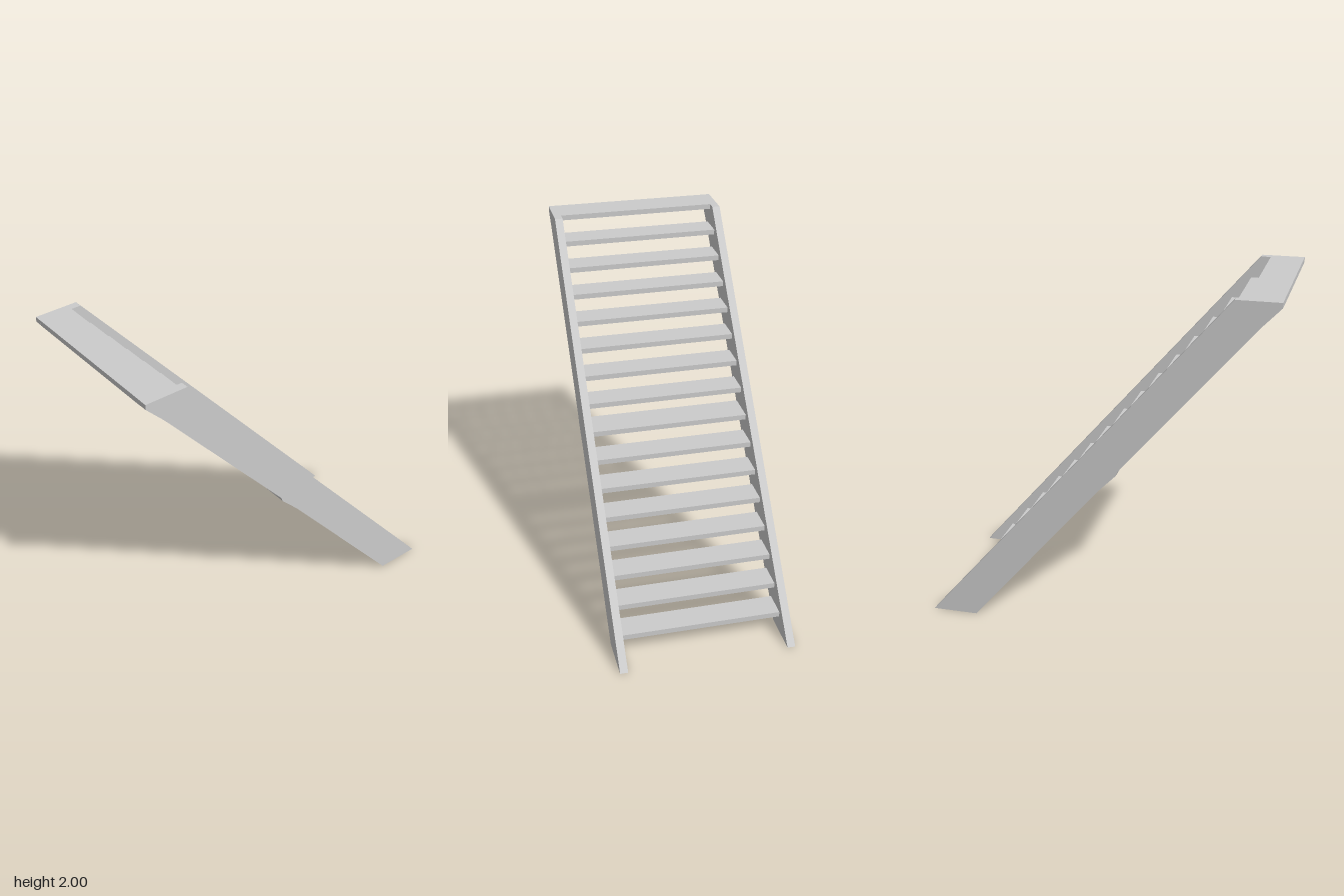
import * as THREE from 'three';

const STEPS = 16, RISE = 0.125, GOING = 0.1073;
const TREAD_H = 0.03, TREAD_D = 0.155, LANDING_BACK = 0.188;
const HALF_W = 0.5, BOARD = 0.045;

export function createModel() {
  const group = new THREE.Group();
  group.name = 'staircase';
  const material = new THREE.MeshStandardMaterial({ color: 0xcccccc, flatShading: true });

  // Side board outline: sloping front edge, back edge stepped out at each landing
  const outline = new THREE.Shape([
    [0.98, 0], [-0.74, 2], [-0.983, 2], [-0.983, 1.972], [-0.885, 1.87],
    [-0.136, 1], [-0.125, 0.972], [-0.02, 0.865], [0.72, 0],
  ].map(([x, y]) => new THREE.Vector2(x, y)));
  const boardGeo = new THREE.ExtrudeGeometry(outline, { depth: BOARD, bevelEnabled: false });
  for (const [name, z] of [['frontStringer', HALF_W - BOARD], ['backStringer', -HALF_W]]) {
    const board = new THREE.Mesh(boardGeo, material);
    board.name = name;
    board.position.z = z;
    group.add(board);
  }

  // Open treads; the eighth and the last are deeper landings
  const width = 2 * (HALF_W - BOARD);
  for (let i = 0; i < STEPS; i++) {
    const landing = i % 8 === 7;
    const depth = landing ? LANDING_BACK : TREAD_D;
    const tread = new THREE.Mesh(new THREE.BoxGeometry(depth, TREAD_H, width), material);
    tread.name = landing ? 'landing' : 'tread';
    tread.position.set(0.815 - i * GOING - depth / 2, (i + 1) * RISE - TREAD_H / 2, 0);
    group.add(tread);
  }
  return group;
}
